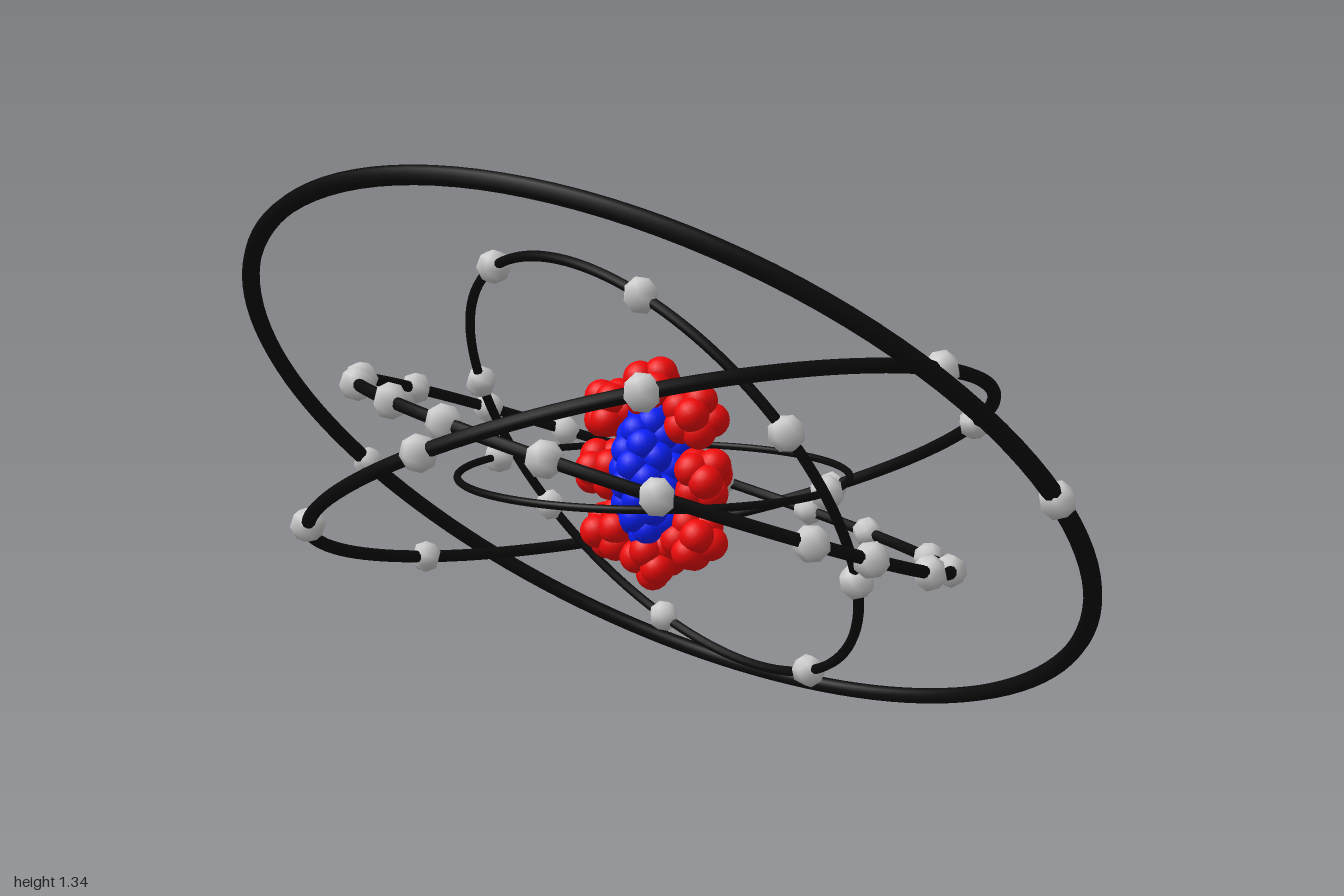
import * as THREE from 'three';

const CENTRE_Y = 0.67;
const black = new THREE.MeshStandardMaterial({ color: 0x0a0a0a });
const red = new THREE.MeshStandardMaterial({ color: 0xf00a0a });
const blue = new THREE.MeshStandardMaterial({ color: 0x0a20ff });
const grey = new THREE.MeshStandardMaterial({ color: 0xcccccc });

// Each orbit: radius, plane normal, and the azimuths of its electrons in degrees
const ORBITS = [
  { radius: 0.428, normal: [0, 1, 0], azimuths: [-18.5, 161.5] },
  { radius: 0.567, normal: [0, 0.524, -0.851], azimuths: [-10.4, 10.4, 42, 125.8, 169.6, 190.4, 222, 307] },
  {
    radius: 0.677, normal: [0.11, 0.945, -0.305],
    azimuths: [0, 12.5, 37.8, 55.9, 76, 91.8, 112.2, 133, 160, 181, 199, 216, 233.5, 254.5, 271.8, 297, 315.6, 341.3],
  },
  { radius: 0.753, normal: [-0.394, 0.916, -0.07], azimuths: [-104.2, -64.3, -14.8, 40, 74.5, 113.8, 165.6, 214.5] },
  { radius: 0.978, normal: [-0.175, 0.747, -0.641], azimuths: [-11.5, 170] },
];

const electronGeometry = new THREE.SphereGeometry(0.038, 6, 4);
const neutronGeometry = new THREE.SphereGeometry(0.035, 18, 12);
const protonGeometry = new THREE.SphereGeometry(0.038, 18, 12);

function addMesh(parent, name, geometry, material, position) {
  const mesh = new THREE.Mesh(geometry, material);
  mesh.name = name;
  if (position) mesh.position.copy(position);
  parent.add(mesh);
  return mesh;
}

// Point of a tilted orbit lying above the given azimuth
function orbitPoint(radius, n, angle) {
  const x = Math.cos(angle), z = Math.sin(angle);
  return new THREE.Vector3(x, -(n.x * x + n.z * z) / n.y, z).setLength(radius);
}

function createOrbit({ radius, normal, azimuths }) {
  const orbit = new THREE.Group();
  orbit.name = 'orbit';
  const n = new THREE.Vector3(...normal).normalize();
  const ring = addMesh(orbit, 'orbitRing', new THREE.TorusGeometry(radius, radius * 0.0195, 10, 120), black);
  ring.quaternion.setFromUnitVectors(new THREE.Vector3(0, 0, 1), n);
  for (const azimuth of azimuths) {
    const angle = THREE.MathUtils.degToRad(azimuth);
    const electron = addMesh(orbit, 'electron', electronGeometry, grey, orbitPoint(radius, n, angle));
    electron.rotation.set(0.4, -angle, 0.3);
  }
  return orbit;
}

// Evenly spread points on a unit sphere
function spherePoints(count) {
  return Array.from({ length: count }, (_, i) => {
    const y = 1 - (2 * i + 1) / count;
    const r = Math.sqrt(1 - y * y);
    const a = i * Math.PI * (3 - Math.sqrt(5));
    return new THREE.Vector3(r * Math.cos(a), y, r * Math.sin(a));
  });
}

function createNucleus() {
  const nucleus = new THREE.Group();
  nucleus.name = 'nucleus';

  // Blue core packed into a tall ellipsoid
  const coreSize = new THREE.Vector3(0.054, 0.138, 0.086);
  for (const p of spherePoints(50)) addMesh(nucleus, 'neutron', neutronGeometry, blue, p.multiply(coreSize));

  // Eight red clusters in an upright loop around the core
  const clusters = [[0, 0.187], [0, -0.187], [0.125, 0], [-0.125, 0]];
  for (const sx of [-1, 1]) for (const sy of [-1, 1]) clusters.push([sx * 0.105, sy * 0.135]);
  clusters.forEach(([x, y], i) => {
    const cluster = new THREE.Group();
    cluster.name = 'protonCluster';
    cluster.position.set(x, y, 0);
    cluster.rotation.set(i * 0.9, i * 1.7, i * 0.6);
    for (const p of spherePoints(8)) addMesh(cluster, 'proton', protonGeometry, red, p.multiplyScalar(0.038));
    nucleus.add(cluster);
  });

  nucleus.rotation.y = 0.35;
  return nucleus;
}

export function createModel() {
  const model = new THREE.Group();
  model.name = 'atom';
  const body = new THREE.Group();
  body.name = 'atomBody';
  body.position.y = CENTRE_Y;
  body.add(createNucleus(), ...ORBITS.map(createOrbit));
  model.add(body);
  return model;
}
